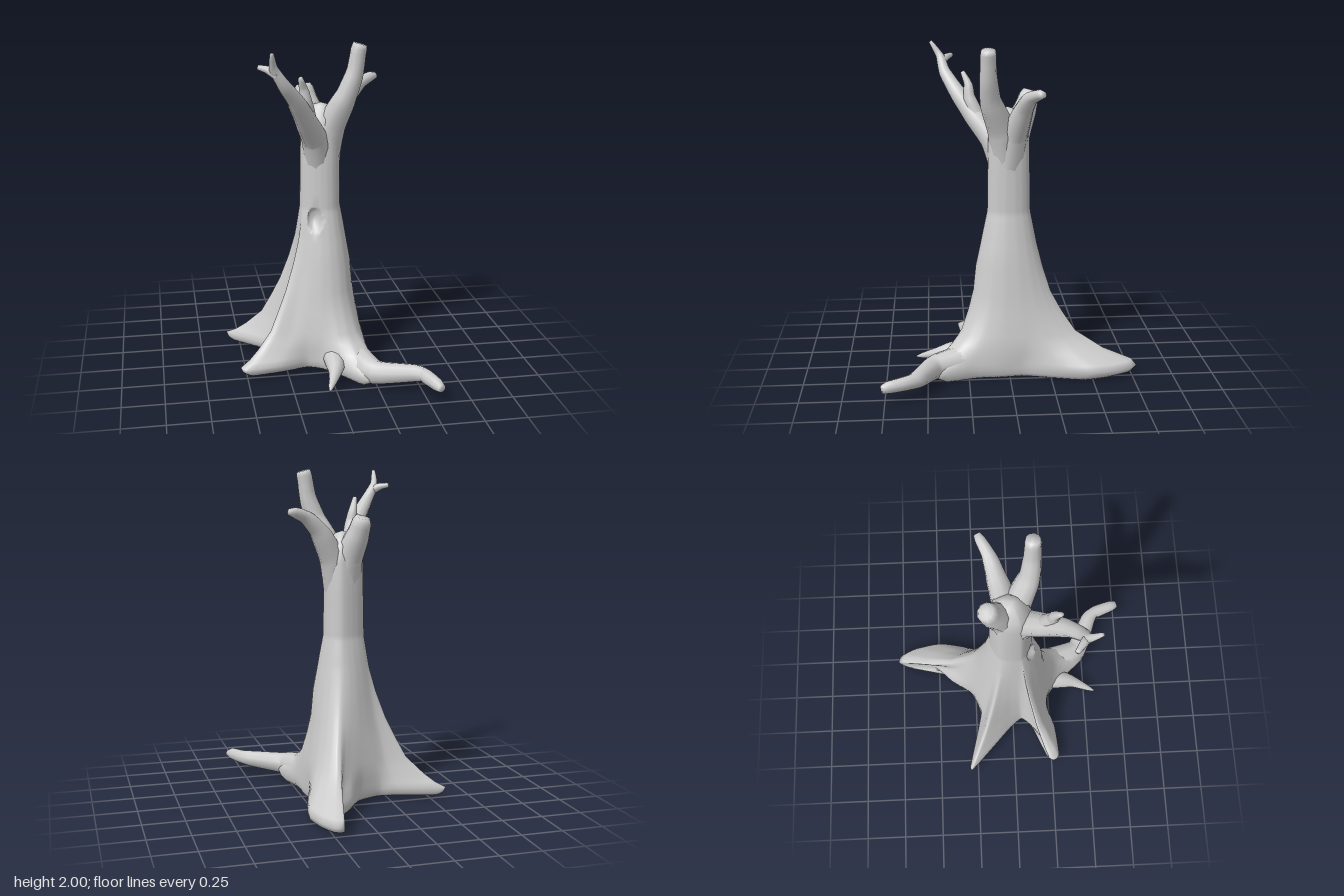
import * as THREE from 'three';
import { mergeVertices } from 'three/addons/utils/BufferGeometryUtils.js';

const material = new THREE.MeshStandardMaterial({ color: 0xcccccc });
const { lerp, clamp } = THREE.MathUtils;

// Piecewise linear lookup
function sample(xs, ys, x) {
  if (x <= xs[0]) return ys[0];
  for (let i = 1; i < xs.length; i++) {
    if (x <= xs[i]) return lerp(ys[i - 1], ys[i], (x - xs[i - 1]) / (xs[i] - xs[i - 1]));
  }
  return ys[ys.length - 1];
}

// Footprint of the root flare on the ground, as [x, z]
const FOOT = [
  [0.2, -0.77], [0.26, -0.76], [0.31, -0.65], [0.335, -0.5], [0.3, -0.33], [0.23, -0.1],
  [0.24, 0.06], [0.25, 0.22], [0.3, 0.43], [0.19, 0.51], [0.08, 0.4], [-0.05, 0.27],
  [-0.14, 0.23], [-0.3, 0.28], [-0.5, 0.3], [-0.54, 0.265], [-0.52, 0.23], [-0.42, 0.22],
  [-0.3, 0.13], [-0.24, 0.06], [-0.3, -0.02], [-0.44, -0.15], [-0.58, -0.285], [-0.55, -0.3],
  [-0.3, -0.24], [-0.18, -0.22], [-0.04, -0.28], [0.05, -0.41], [0.17, -0.54],
];

// How much of the flare is left at each height, on each root ridge and in the valleys between
const FLARE_Y = [0.03, 0.05, 0.08, 0.11, 0.16, 0.26, 0.5, 0.66, 0.8, 1.0];
const BACK = [0.86, 0.95, 1, 0.95, 0.7, 0.44, 0.18, 0.09, 0.04, 0];
const LEFT = [0.9, 0.97, 1, 0.86, 0.72, 0.5, 0.23, 0.12, 0.05, 0];
const FRONT = [0.86, 0.95, 1, 0.92, 0.68, 0.36, 0.11, 0.1, 0.05, 0];
const VALLEY = [0.8, 0.95, 1, 1, 0.97, 0.88, 0.57, 0.45, 0.25, 0];
const CLEFT = [0.7, 0.9, 1, 0.92, 0.78, 0.52, 0.15, 0.02, 0, 0];

// Plain trunk radius by height, closing over at the crotch
const CORE_Y = [0.5, 0.66, 1.0, 1.2, 1.45, 1.55, 1.62];
const CORE_R = [0.175, 0.165, 0.138, 0.134, 0.13, 0.112, 0.05];

// One trunk outline, with the flare softened away from the ground
function outline(y) {
  const core = sample(CORE_Y, CORE_R, y);
  let points = FOOT.map(([x, z]) => {
    const r = Math.hypot(x, z);
    const ridge = x < -0.2 ? LEFT : z > 0.2 ? FRONT : BACK;
    const valley = x < -0.2 ? CLEFT : VALLEY;
    const f = lerp(sample(FLARE_Y, valley, y), sample(FLARE_Y, ridge, y), clamp((r - 0.25) / 0.3, 0, 1));
    return new THREE.Vector3(lerp(x / r * core - 0.005, x, f), 0, lerp(z / r * core - 0.005, z, f));
  });
  const soft = 0.28 * clamp((y - 0.12) / 0.3, 0, 1);
  const n = points.length;
  for (let pass = 0; pass < 3; pass++) {
    points = points.map((p, i) => {
      // the cleft between the two left roots stays sharp
      const w = soft * (FOOT[i][0] < -0.2 ? clamp((y - 0.4) / 0.6, 0.25, 1) : 1);
      return p.clone().multiplyScalar(1 - 2 * w)
        .addScaledVector(points[(i + 1) % n], w).addScaledVector(points[(i + n - 1) % n], w);
    });
  }
  return new THREE.CatmullRomCurve3(points, true, 'catmullrom', 0.3);
}

function trunkGeometry() {
  const heights = [0.03, 0.05, 0.08, 0.11, 0.16, 0.21, 0.26, 0.38, 0.5, 0.66, 0.8, 0.85];
  for (let y = 0.87; y < 1.03; y += 0.015) heights.push(y);
  heights.push(1.1, 1.25, 1.45, 1.55, 1.62);
  const n = FOOT.length * 4;
  const pos = [], index = [];

  for (const y of heights) {
    const ring = outline(y);
    for (let j = 0; j < n; j++) {
      const p = ring.getPoint(j / n);
      // roots on the left side settle deeper into the ground
      const sink = 0.028 * clamp(p.x / 0.2, 0, 1) * clamp((0.2 - y) / 0.17, 0, 1);
      // knot hollow pressed into the front
      const d = Math.hypot((p.x + 0.062) / 0.042, (y - 0.94) / 0.075);
      const dent = p.z > 0 && d < 1 ? 0.05 * Math.sqrt(1 - d) : 0;
      pos.push(p.x, y - sink, p.z - dent);
    }
  }
  for (let i = 0; i < heights.length - 1; i++) {
    for (let j = 0; j < n; j++) {
      const k = (j + 1) % n;
      const a = i * n + j, b = i * n + k;
      index.push(a, a + n, b, b, a + n, b + n);
    }
  }
  // underside and top caps
  const last = (heights.length - 1) * n, low = pos.length / 3;
  pos.push(0, 0.045, 0, -0.01, 1.635, 0);
  for (let j = 0; j < n; j++) {
    const k = (j + 1) % n;
    index.push(low, j, k, low + 1, last + k, last + j);
  }
  const g = new THREE.BufferGeometry();
  g.setAttribute('position', new THREE.Float32BufferAttribute(pos, 3));
  g.setIndex(index);
  g.computeVertexNormals();
  return g;
}

// Tapering limb through points [x, y, z, radius], closed at its tip
function limb(name, points) {
  const curve = new THREE.CatmullRomCurve3(
    points.map(([x, y, z]) => new THREE.Vector3(x, y, z)), false, 'catmullrom', 0.2);
  const rings = points.length * 4, sides = 10;
  const g = new THREE.TubeGeometry(curve, rings, 1, sides);
  const steps = points.map((_, i) => i / (points.length - 1));
  const radii = points.map((p) => p[3]);
  const p = g.attributes.position, nrm = g.attributes.normal;
  const v = new THREE.Vector3();
  for (let i = 0; i < p.count; i++) {
    const ring = Math.floor(i / (sides + 1));
    const u = Math.min(1, ring / (rings - 1));
    const r = ring === rings ? 0 : sample(steps, radii, curve.getUtoTmapping(u));
    v.fromBufferAttribute(nrm, i).multiplyScalar(r).add(curve.getPointAt(u));
    p.setXYZ(i, v.x, v.y, v.z);
  }
  g.deleteAttribute('uv');
  g.deleteAttribute('normal');
  const smooth = mergeVertices(g, 1e-4);
  smooth.computeVertexNormals();
  const mesh = new THREE.Mesh(smooth, material);
  mesh.name = name;
  return mesh;
}

export function createModel() {
  const tree = new THREE.Group();
  tree.name = 'tree';
  const trunk = new THREE.Mesh(trunkGeometry(), material);
  trunk.name = 'trunk';
  tree.add(trunk);

  // Roots that bend away from the flare
  tree.add(
    limb('crookedRoot', [[0.14, 0.11, 0.22, 0.1], [0.235, 0.085, 0.46, 0.074],
      [0.485, 0.112, 0.575, 0.047], [0.555, 0.105, 0.74, 0.035], [0.565, 0.1, 0.765, 0.025]]),
    limb('spikeRoot', [[0.03, 0.12, 0.2, 0.08], [0.015, 0.09, 0.4, 0.048], [-0.05, 0.04, 0.57, 0.006]]),
  );

  // Main branches
  tree.add(
    limb('tallBranch', [[0.0, 1.2, 0.0, 0.085], [0.04, 1.48, 0.03, 0.09], [0.12, 1.68, 0.105, 0.064],
      [0.17, 1.82, 0.12, 0.052], [0.19, 1.95, 0.122, 0.045], [0.197, 1.975, 0.122, 0.051],
      [0.2, 1.99, 0.122, 0.042]]),
    limb('sideBranch', [[0.01, 1.2, 0.0, 0.085], [0.055, 1.45, -0.035, 0.082], [0.15, 1.63, -0.08, 0.06],
      [0.24, 1.72, -0.115, 0.043], [0.34, 1.757, -0.17, 0.027], [0.355, 1.757, -0.178, 0.021]]),
    limb('backStub', [[-0.02, 1.2, -0.01, 0.09], [-0.03, 1.46, -0.05, 0.092], [-0.075, 1.62, -0.115, 0.07],
      [-0.09, 1.7, -0.14, 0.058], [-0.092, 1.72, -0.145, 0.045]]),
    limb('forkedBranch', [[-0.02, 1.2, 0.01, 0.08], [-0.055, 1.42, 0.08, 0.08], [-0.13, 1.57, 0.2, 0.064],
      [-0.2, 1.7, 0.295, 0.05], [-0.28, 1.81, 0.365, 0.037], [-0.335, 1.9, 0.39, 0.026],
      [-0.35, 1.99, 0.45, 0.011]]),
  );

  // Twigs on the forked branch
  tree.add(
    limb('tipTwig', [[-0.31, 1.86, 0.39, 0.028], [-0.36, 1.89, 0.355, 0.023], [-0.41, 1.9, 0.32, 0.014]]),
    limb('innerTwig', [[-0.11, 1.54, 0.17, 0.055], [-0.13, 1.67, 0.22, 0.038],
      [-0.145, 1.75, 0.225, 0.028], [-0.168, 1.825, 0.26, 0.013]]),
  );
  return tree;
}
